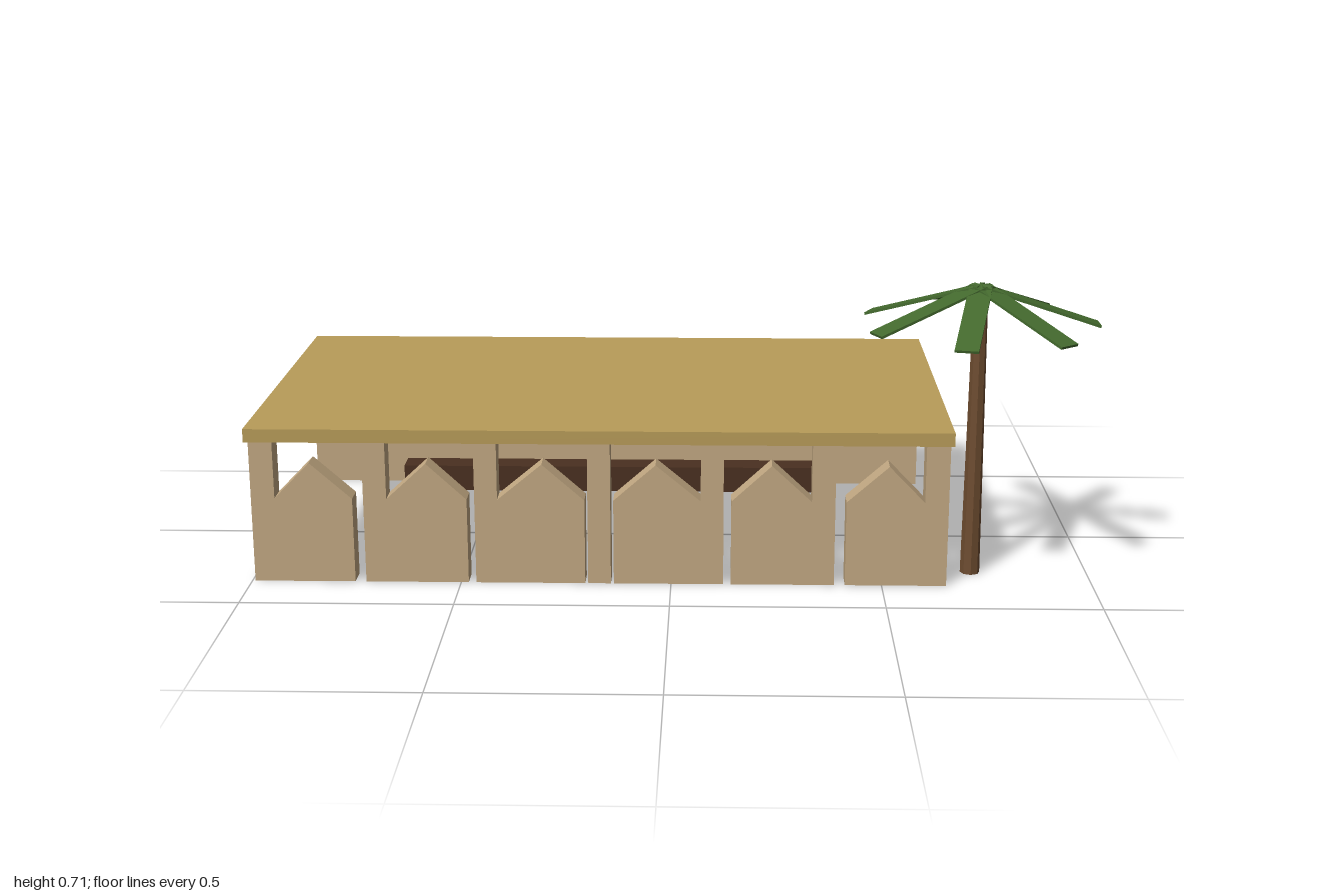
import * as THREE from 'three';

const mat = (name, color, flatShading = false) => {
  const m = new THREE.MeshStandardMaterial({ color, flatShading });
  m.name = name;
  return m;
};

export function createModel() {
  const sand = mat('sandstone', 0xc2a882);
  const thatch = mat('roof ochre', 0xb89c59);
  const darkWood = mat('dark wood', 0x4a3020);
  const bark = mat('bark', 0x6e4c30, true);
  const leaf = mat('leaf green', 0x446a2e);

  const model = new THREE.Group();
  model.name = 'arcadeHall';
  const CX = -0.17; // centre line of the building

  // Box given by its limits on each axis
  const box = (name, material, x0, x1, y0, y1, z0, z1, parent = model) => {
    const mesh = new THREE.Mesh(new THREE.BoxGeometry(x1 - x0, y1 - y0, z1 - z0), material);
    mesh.position.set((x0 + x1) / 2, (y0 + y1) / 2, (z0 + z1) / 2);
    mesh.name = name;
    parent.add(mesh);
    return mesh;
  };

  // Roof slab, back wall and long bench
  box('roof', thatch, -1, 0.66, 0.35, 0.382, -0.54, 0.372);
  box('backWall', sand, -0.993, 0.653, 0, 0.35, -0.516, -0.426);
  box('bench', darkWood, -0.74, 0.4, 0, 0.069, -0.415, -0.346);

  // Front arcade: a pier with a pointed panel beside it, mirrored about the middle
  const arcade = new THREE.Group();
  arcade.name = 'frontArcade';
  model.add(arcade);
  const H = 0.35;
  // distances from the centre line: outer edge, pier edge, peak, inner edge
  const panels = [
    [0.823, 0.767, 0.682, 0.583],
    [0.557, 0.502, 0.407, 0.312],
    [0.294, 0.240, 0.134, 0.034],
  ];
  for (const side of [-1, 1]) {
    for (const [outer, pier, peak, inner] of panels) {
      const pts = [[outer, 0], [outer, H], [pier, H], [pier, 0.207], [peak, 0.295], [inner, 0.207], [inner, 0]];
      const shape = new THREE.Shape(pts.map(([d, y]) => new THREE.Vector2(CX + side * d, y)));
      const mesh = new THREE.Mesh(new THREE.ExtrudeGeometry(shape, { depth: 0.055, bevelEnabled: false }), sand);
      mesh.position.z = 0.3;
      mesh.name = 'pointedPanel';
      arcade.add(mesh);
    }
  }
  box('centrePier', sand, CX - 0.027, CX + 0.027, 0, H, 0.3, 0.355, arcade);

  // Palm tree
  const palm = new THREE.Group();
  palm.name = 'palmTree';
  palm.position.set(0.72, 0, 0.256);
  model.add(palm);
  const trunk = new THREE.Mesh(new THREE.CylinderGeometry(0.017, 0.0235, 0.695, 8), bark);
  trunk.position.y = 0.3475;
  trunk.name = 'trunk';
  palm.add(trunk);

  // Seven drooping fronds around the top
  const LENGTH = 0.293;
  const frondGeometry = new THREE.BoxGeometry(LENGTH, 0.006, 0.054);
  frondGeometry.translate(LENGTH / 2, 0, 0);
  frondGeometry.rotateZ(-0.315);
  for (let i = 0; i < 7; i++) {
    const frond = new THREE.Mesh(frondGeometry, leaf);
    frond.position.y = 0.707;
    frond.rotation.y = (i / 7) * Math.PI * 2;
    frond.name = 'frond';
    palm.add(frond);
  }
  return model;
}
